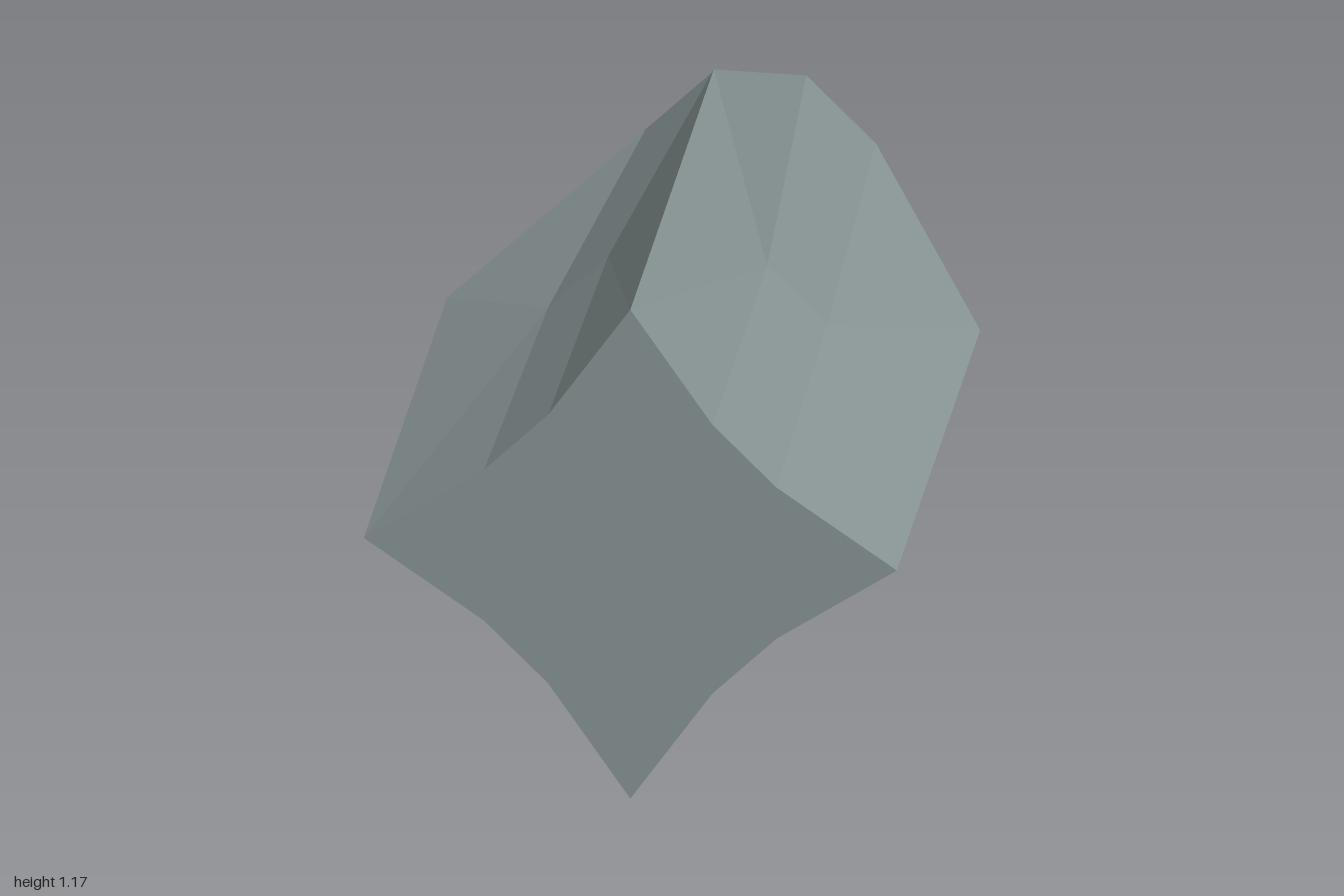
import * as THREE from 'three';

// One quarter of the hull, measured from the long axis; turned four times
const CENTER_Y = 0.583;
const v = (x, y, z) => new THREE.Vector3(x, y, z);
const mirrorX = (p) => v(-p.x, p.y, p.z);
const swapXY = (p) => v(p.y, p.x, p.z);

// Triangle fan around the first corner of each polygon, in four quarter turns
function quarterGeometry(polygons) {
  const positions = [];
  const axis = v(0, 0, 1);
  for (let k = 0; k < 4; k++) {
    for (const poly of polygons) {
      const pts = poly.map((p) => p.clone().applyAxisAngle(axis, (k * Math.PI) / 2));
      for (let i = 1; i < pts.length - 1; i++) {
        for (const p of [pts[0], pts[i], pts[i + 1]]) positions.push(p.x, p.y, p.z);
      }
    }
  }
  const geometry = new THREE.BufferGeometry();
  geometry.setAttribute('position', new THREE.Float32BufferAttribute(positions, 3));
  geometry.computeVertexNormals();
  return geometry;
}

export function createModel() {
  const group = new THREE.Group();
  group.name = 'starHull';
  const hullGrey = new THREE.MeshStandardMaterial({ color: 0x889494 });
  hullGrey.name = 'hullGrey';

  // Ridge tips (t, r) and valley corners (a, b): front, middle, taper
  const t1 = v(0, 0.583, 1), t2 = v(0, 0.583, 0.14), t3 = v(0, 0.583, -0.25);
  const a1 = v(0.18, 0.32, 1), a2 = v(0.174, 0.305, 0.14), a3 = v(0.1, 0.252, -0.955);
  const [r1, r2, r3] = [t1, t2, t3].map(swapXY);
  const [b1, b2, b3] = [a1, a2, a3].map(swapXY);
  const inner = v(0.072, 0.072, -1);

  const parts = {
    // Four straight fins with faceted valleys
    finnedBody: [
      [t1, a1, a2, t2],
      [a1, b1, b2, a2],
      [r1, r2, b2, b1],
    ],
    // Fins cut away towards an eight-sided end
    taperedTail: [
      [t3, t2, a2, a3],
      [a2, b2, b3, a3],
      [r3, b3, b2, r2],
      [t3, a3, mirrorX(a3)],
    ],
    frontCap: [[v(0, 0, 1), r1, b1, a1, t1]],
    // Shallow bevelled end
    rearCap: [
      [a3, b3, inner],
      [mirrorX(a3), a3, inner, mirrorX(inner)],
      [v(0, 0, -1), mirrorX(inner), inner],
    ],
  };

  for (const [name, polygons] of Object.entries(parts)) {
    const mesh = new THREE.Mesh(quarterGeometry(polygons), hullGrey);
    mesh.name = name;
    mesh.position.y = CENTER_Y;
    group.add(mesh);
  }
  return group;
}
